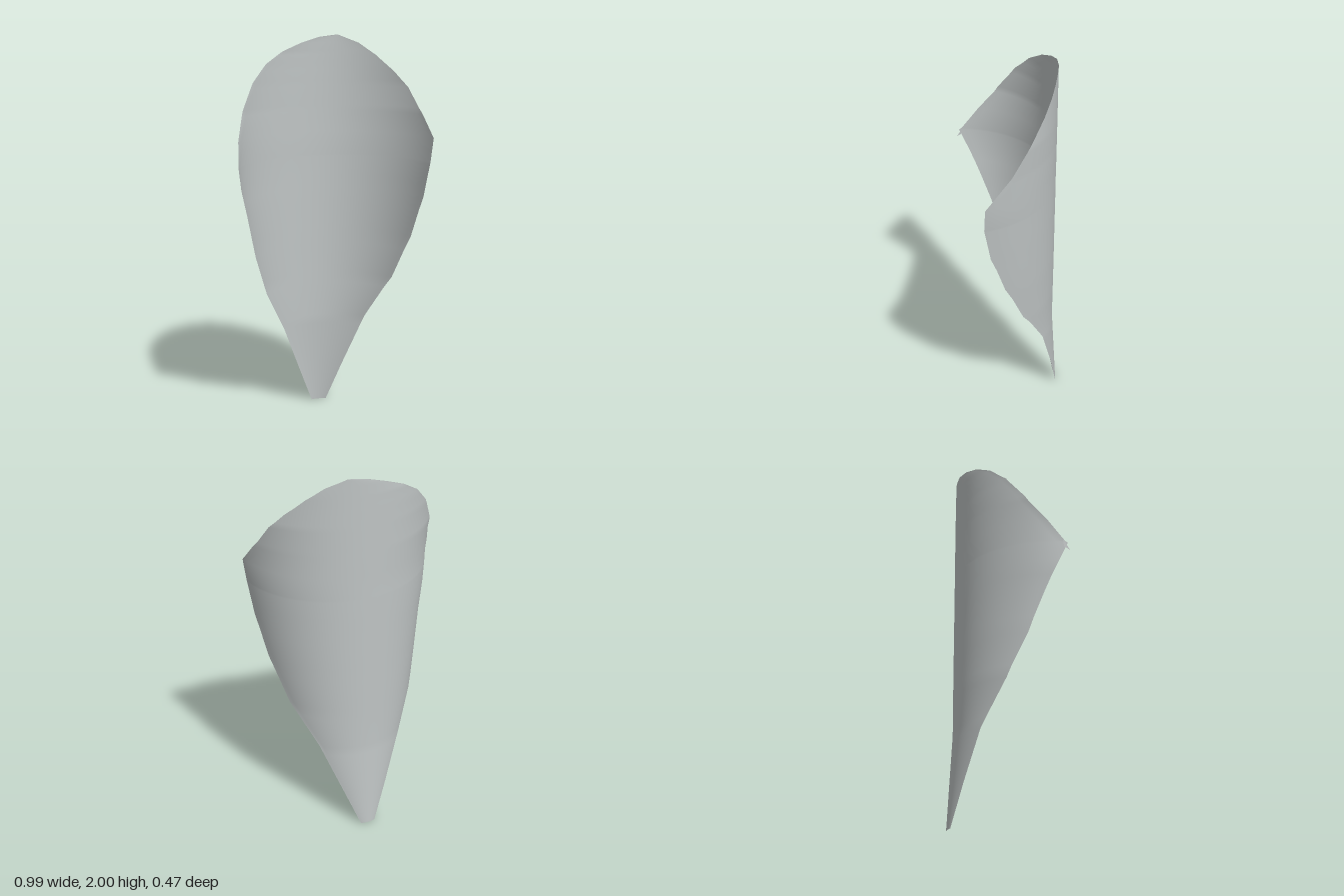
import * as THREE from 'three';

// Outline of each side: [height, x of the rim, radius of curvature of that half]
const LEFT = [ // +x side
  [0, 0.04, 0.15], [0.21, 0.12, 0.235], [0.5, 0.23, 0.354], [0.74, 0.345, 0.393],
  [0.98, 0.415, 0.435], [1.2, 0.455, 0.463], [1.38, 0.478, 0.484], [1.5, 0.494, 0.504],
  [1.61, 0.467, 0.51], [1.74, 0.42, 0.533], [1.82, 0.36, 0.525], [1.9, 0.28, 0.52],
  [1.96, 0.2, 0.52], [2, 0.1, 0.52],
];
const RIGHT = [ // -x side
  [0, -0.04, 0.15], [0.21, -0.12, 0.235], [0.45, -0.21, 0.345], [0.68, -0.32, 0.395],
  [0.9, -0.39, 0.428], [1.12, -0.44, 0.46], [1.27, -0.478, 0.489], [1.37, -0.495, 0.5],
  [1.5, -0.48, 0.517], [1.64, -0.44, 0.543], [1.77, -0.375, 0.55], [1.86, -0.295, 0.55],
  [1.92, -0.2, 0.54], [1.96, -0.1, 0.53], [1.99, 0, 0.52], [2, 0.08, 0.52],
];
// Depth of the spine: upright, with the tip swept back
const SPINE = [[0, -0.238], [0.5, -0.206], [2, -0.204]];

// Linear lookup of one column of a table by height
function at(table, y, col) {
  let i = 1;
  while (i < table.length - 1 && table[i][0] < y) i++;
  const a = table[i - 1], b = table[i];
  return THREE.MathUtils.lerp(a[col], b[col], (y - a[0]) / (b[0] - a[0]));
}

// Curved shell made of horizontal arcs running from rim to rim
function shellGeometry(columns) {
  const heights = [...new Set([...LEFT, ...RIGHT].map((p) => p[0]))].sort((a, b) => a - b);
  const positions = [], index = [];
  heights.forEach((y, row) => {
    const rl = at(LEFT, y, 2), rr = at(RIGHT, y, 2);
    const a0 = Math.asin(at(RIGHT, y, 1) / rr), a1 = Math.asin(at(LEFT, y, 1) / rl);
    for (let c = 0; c <= columns; c++) {
      const a = THREE.MathUtils.lerp(a0, a1, c / columns);
      const r = a < 0 ? rr : rl;
      positions.push(r * Math.sin(a), y, at(SPINE, y, 1) + r * (1 - Math.cos(a)));
      if (row && c) {
        const d = row * (columns + 1) + c, b = d - columns - 1;
        index.push(b - 1, b, d, b - 1, d, d - 1);
      }
    }
  });
  const geometry = new THREE.BufferGeometry();
  geometry.setAttribute('position', new THREE.Float32BufferAttribute(positions, 3));
  geometry.setIndex(index);
  geometry.computeVertexNormals();
  return geometry;
}

export function createModel() {
  const group = new THREE.Group();
  group.name = 'curvedShell';
  const grey = new THREE.MeshStandardMaterial({ color: 0xbfc4c4, side: THREE.DoubleSide });
  grey.name = 'paleGrey';

  const shell = new THREE.Mesh(shellGeometry(28), grey);
  shell.name = 'shell';
  group.add(shell);

  // Tiny curl at the widest point of the right rim
  const curl = new THREE.BufferGeometry();
  curl.setAttribute('position', new THREE.Float32BufferAttribute(
    [-0.494, 1.39, 0.2, -0.492, 1.35, 0.205, -0.495, 1.33, 0.236], 3));
  curl.computeVertexNormals();
  const rimCurl = new THREE.Mesh(curl, grey);
  rimCurl.name = 'rimCurl';
  group.add(rimCurl);
  return group;
}
